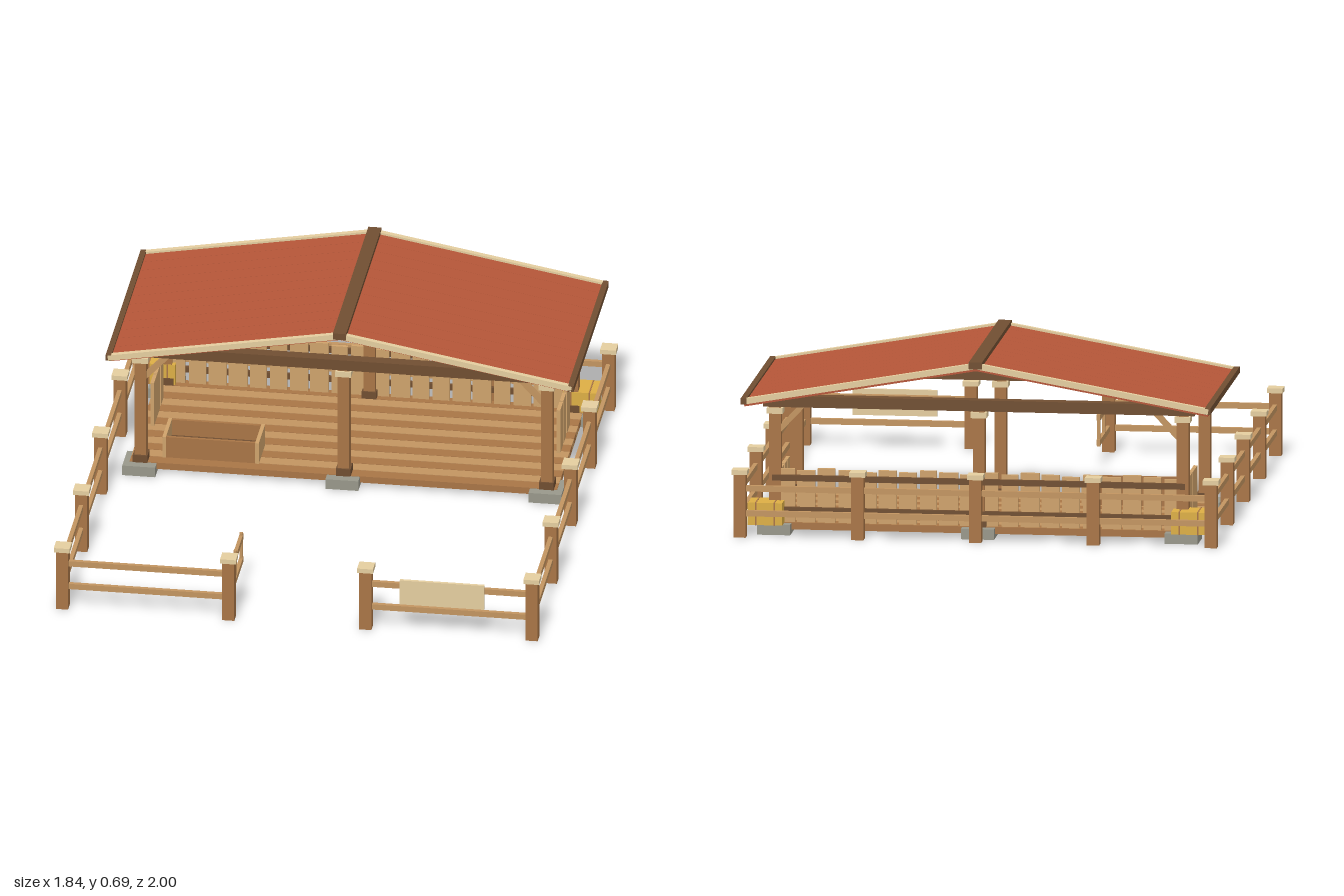
import * as THREE from 'three';

const mat = (name, color) => {
  const m = new THREE.MeshStandardMaterial({ color });
  m.name = name;
  return m;
};

export function createModel() {
  const wood = mat('post wood', 0xa87546);
  const rail = mat('rail wood', 0xc29460);
  const board = mat('board wood', 0xcea26b);
  const pale = mat('pale wood', 0xe4cd9f);
  const dark = mat('dark wood', 0x704e31);
  const red = mat('roof red', 0xb55638);
  const stone = mat('stone', 0x98978a);
  const hay = mat('hay', 0xdcae45);

  const root = new THREE.Group();
  root.name = 'fencedShelter';
  const group = (name, parent = root) => {
    const g = new THREE.Group();
    g.name = name;
    parent.add(g);
    return g;
  };
  // Box given by its size and centre
  const box = (parent, name, material, w, h, d, x, y, z) => {
    const m = new THREE.Mesh(new THREE.BoxGeometry(w, h, d), material);
    m.name = name;
    m.position.set(x, y, z);
    parent.add(m);
    return m;
  };

  // Fence posts with caps
  const fence = group('fence');
  const posts = [[-0.26, 0.97], [0.26, 0.97], [-0.445, -0.97], [0, -0.97], [0.445, -0.97]];
  for (const s of [-1, 1])
    for (const z of [-0.97, -0.485, 0, 0.485, 0.97]) posts.push([s * 0.89, z]);
  for (const [x, z] of posts) {
    box(fence, 'fencePost', wood, 0.046, 0.24, 0.046, x, 0.12, z);
    box(fence, 'postCap', pale, 0.06, 0.018, 0.06, x, 0.249, z);
  }

  // Two rails on every side, open at the front gate
  for (const y of [0.09, 0.185]) {
    box(fence, 'backRail', rail, 1.78, 0.022, 0.016, 0, y, -0.97);
    for (const s of [-1, 1]) {
      box(fence, 'sideRail', rail, 0.016, 0.022, 1.94, s * 0.89, y, 0);
      box(fence, 'frontRail', rail, 0.63, 0.022, 0.016, s * 0.575, y, 0.97);
    }
  }
  box(fence, 'signBoard', pale, 0.32, 0.1, 0.012, 0.55, 0.165, 0.984);

  // Open gate
  const gate = group('gate');
  for (const y of [0.09, 0.185]) box(gate, 'gateRail', rail, 0.014, 0.022, 0.32, -0.26, y, 0.81);
  for (const z of [0.81, 0.665]) box(gate, 'gateStile', rail, 0.012, 0.13, 0.014, -0.26, 0.14, z);

  // Plank floor
  const floor = group('floor');
  const planks = 13, pitch = 0.7 / planks;
  for (let i = 0; i < planks; i++)
    box(floor, 'floorPlank', i % 2 ? rail : wood, 1.62, 0.026, pitch - 0.003,
      0, 0.029, -0.885 + (i + 0.5) * pitch);

  // Shelter posts, footings, beams and braces
  const frame = group('frame');
  for (const z of [-0.21, -0.86]) {
    for (const x of [-0.77, 0, 0.77]) {
      box(frame, 'footing', stone, 0.125, 0.04, 0.125, x, 0.02, z);
      box(frame, 'postBase', dark, 0.056, 0.03, 0.056, x, 0.055, z);
      box(frame, 'shelterPost', wood, 0.044, 0.42, 0.044, x, 0.27, z);
      box(frame, 'postHead', pale, 0.06, 0.022, 0.06, x, 0.467, z);
    }
    box(frame, 'crossBeam', dark, 1.63, 0.042, 0.045, 0, 0.502, z);
    for (const s of [-1, 1]) {
      const brace = box(frame, 'brace', rail, 0.02, 0.15, 0.022, s * 0.715, 0.435, z);
      brace.rotation.z = s * 0.75;
    }
  }
  for (const s of [-1, 1])
    box(frame, 'sideBeam', wood, 0.04, 0.028, 0.69, s * 0.77, 0.494, -0.535);

  // Low walls of uneven boards, with battens behind
  const walls = group('walls');
  for (let i = 0; i < 20; i++) {
    const h = 0.194 + ((i * 7) % 5) * 0.003;
    box(walls, 'backBoard', board, 0.062 + ((i * 5) % 4) * 0.003, h, 0.014,
      -0.7315 + i * 0.077, 0.042 + h / 2, -0.866);
  }
  for (const y of [0.09, 0.212]) box(walls, 'wallBatten', dark, 1.56, 0.022, 0.014, 0, y, -0.881);
  for (const s of [-1, 1])
    for (const z of [-0.523, -0.603, -0.693])
      box(walls, 'sideBoard', board, 0.014, 0.18, 0.07, s * 0.77, 0.132, z);

  // Feeding trough
  const trough = group('trough');
  for (const z of [-0.237, -0.383]) box(trough, 'troughSide', wood, 0.36, 0.085, 0.012, -0.51, 0.087, z);
  for (const x of [-0.686, -0.334]) box(trough, 'troughEnd', board, 0.014, 0.086, 0.162, x, 0.087, -0.31);
  box(trough, 'troughBottom', dark, 0.35, 0.012, 0.14, -0.51, 0.06, -0.31);
  for (const x of [-0.62, -0.4]) box(trough, 'troughFoot', dark, 0.025, 0.042, 0.11, x, 0.029, -0.315);

  // Hay bales with binding bands
  for (const s of [-1, 1]) {
    const bale = group('hayBale');
    box(bale, 'hay', hay, 0.13, 0.085, 0.11, s * 0.8, 0.083, -0.89);
    for (const dx of [-0.035, 0.035])
      box(bale, 'baleBand', wood, 0.005, 0.087, 0.112, s * 0.8 + dx, 0.083, -0.89);
  }

  // Roof: two planked slopes with trim and ridge
  const roof = group('roof');
  const angle = Math.atan2(0.155, 0.88), len = 0.893, mid = -0.535;
  for (const s of [-1, 1]) {
    const slope = group('roofSlope', roof);
    slope.position.set(s * 0.44, 0.598, 0);
    slope.rotation.z = -s * angle;
    for (let i = 0; i < 12; i++)
      box(slope, 'roofPlank', red, len, 0.024, 0.0702, 0, -0.014, mid + (i - 5.5) * 0.0715);
    for (const z of [-0.1, -0.97]) box(slope, 'bargeBoard', pale, len, 0.022, 0.02, 0, -0.005, z);
    // Rafters below the planks
    for (const z of [-0.21, -0.86])
      box(slope, 'rafter', rail, len * 0.93, 0.01, 0.024, -s * 0.02, -0.031, z);
    box(roof, 'eaveBoard', dark, 0.022, 0.024, 0.89, s * 0.876, 0.517, mid);
  }
  box(roof, 'ridgeCap', dark, 0.05, 0.026, 0.9, 0, 0.673, mid);

  return root;
}
